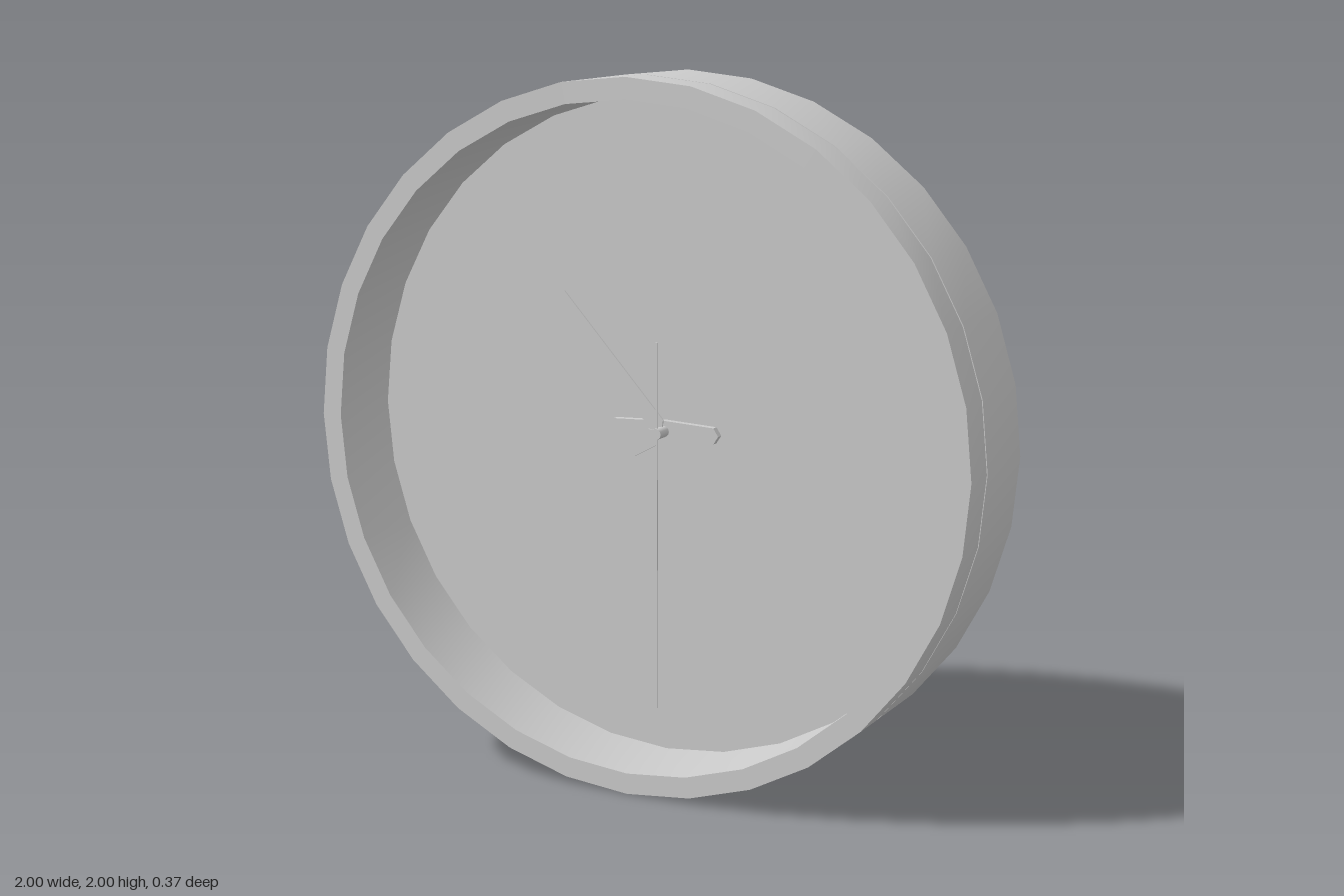
import * as THREE from 'three';
import { toCreasedNormals } from 'three/addons/utils/BufferGeometryUtils.js';

const material = new THREE.MeshStandardMaterial({ color: 0xcccccc });
const FACE_Z = -0.06;

function add(group, name, geometry) {
  const mesh = new THREE.Mesh(geometry, material);
  mesh.name = name;
  group.add(mesh);
  return mesh;
}

// Revolve a profile of [radius, z] pairs around the z axis
function turned(profile) {
  const points = profile.map(([r, z]) => new THREE.Vector2(r, z));
  const geometry = new THREE.LatheGeometry(points, 32);
  geometry.rotateX(Math.PI / 2);
  return toCreasedNormals(geometry, 0.5);
}

// Thin flat plate from an outline of [x, y] pairs, starting at depth z
function plate(outline, z, depth) {
  const shape = new THREE.Shape(outline.map(([x, y]) => new THREE.Vector2(x, y)));
  const geometry = new THREE.ExtrudeGeometry(shape, { depth, bevelEnabled: false });
  geometry.translate(0, 0, z);
  return geometry;
}

// Tapered hand running from the hub to its tip
function hand(tipX, tipY, halfWidth, z) {
  const length = Math.hypot(tipX, tipY);
  const dx = tipX / length, dy = tipY / length;
  const base = 0.024;
  return plate([
    [0, 0],
    [dx * base + dy * halfWidth, dy * base - dx * halfWidth],
    [tipX, tipY],
    [dx * base - dy * halfWidth, dy * base + dx * halfWidth],
  ], z, 0.005);
}

export function createModel() {
  const clock = new THREE.Group();
  clock.name = 'wallClock';
  const body = new THREE.Group();
  body.name = 'clockBody';
  body.position.y = 1;
  clock.add(body);

  // Case with flat back, seam groove, front rim and recessed face
  add(body, 'case', turned([
    [0, -0.185], [1, -0.185], [1, 0.066], [0.99, 0.066], [0.99, 0.072], [1, 0.072],
    [1, 0.185], [0.94, 0.185], [0.94, FACE_Z], [0, FACE_Z],
  ]));

  // Long oval plate behind the hands
  add(body, 'centrePlate', plate([
    [-0.18, 0], [-0.16, -0.023], [0, -0.03], [0.155, -0.023],
    [0.17, 0], [0.155, 0.023], [0, 0.03], [-0.16, 0.023],
  ], FACE_Z, 0.02));

  // Hands, stacked from back to front
  add(body, 'hourHand', hand(-0.31, 0.38, 0.026, -0.03));
  add(body, 'minuteHand', hand(-0.715, -0.425, 0.026, -0.015));
  add(body, 'secondHand', plate([
    [-0.003, 0.26], [-0.001, -0.8], [0.001, -0.8], [0.003, 0.26],
  ], 0, 0.004));

  // Pin holding the hands
  const pin = new THREE.CylinderGeometry(0.016, 0.016, 0.07, 12);
  pin.rotateX(Math.PI / 2);
  add(body, 'hubPin', pin).position.z = FACE_Z + 0.035;

  return clock;
}
